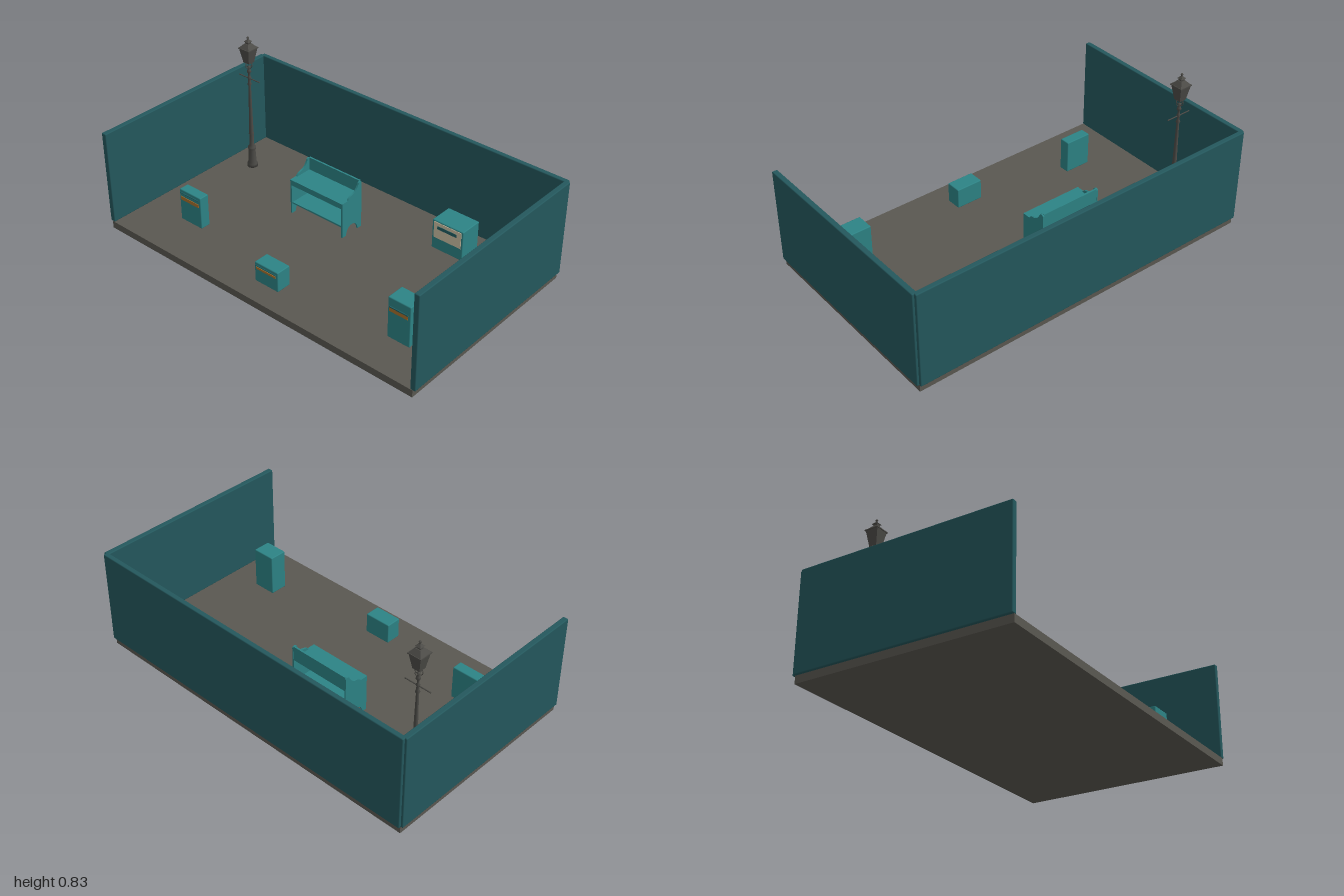
import * as THREE from 'three';
import { RoundedBoxGeometry } from 'three/addons/geometries/RoundedBoxGeometry.js';

const FLOOR = 0.04;

function material(name, color, flatShading = false) {
  const m = new THREE.MeshStandardMaterial({ color, flatShading });
  m.name = name;
  return m;
}

export function createModel() {
  const mats = {
    wall: material('darkTeal', 0x24585d),
    teal: material('teal', 0x2d8385),
    floor: material('stoneGrey', 0x5a5851),
    iron: material('ironGrey', 0x4c4b47),
    cream: material('cream', 0xcdc1a5),
    orange: material('ochre', 0xa8702c),
    slot: material('slotDark', 0x1f5f63),
  };
  const root = new THREE.Group();
  root.name = 'streetDisplay';

  function add(parent, name, geo, mat, x = 0, y = 0, z = 0) {
    const mesh = new THREE.Mesh(geo, mat);
    mesh.name = name;
    mesh.position.set(x, y, z);
    parent.add(mesh);
    return mesh;
  }
  // Box given by its limits; an optional bevel softens the edges
  function block(parent, name, mat, [x0, x1], [y0, y1], [z0, z1], bevel = 0) {
    const s = [x1 - x0, y1 - y0, z1 - z0];
    const geo = bevel ? new RoundedBoxGeometry(...s, 2, bevel) : new THREE.BoxGeometry(...s);
    return add(parent, name, geo, mat, (x0 + x1) / 2, (y0 + y1) / 2, (z0 + z1) / 2);
  }
  function group(name) {
    const g = new THREE.Group();
    g.name = name;
    root.add(g);
    return g;
  }

  // Floor and three walls
  block(root, 'floor', mats.floor, [-0.985, 0.985], [0, FLOOR], [-0.567, 0.58]);
  block(root, 'backWall', mats.wall, [-0.988, 0.988], [FLOOR, 0.565], [-0.582, -0.555], 0.005);
  for (const [name, x] of [['leftWall', 0.985], ['rightWall', -0.985]]) {
    block(root, name, mats.wall, [x - 0.014, x + 0.015], [FLOOR, 0.565], [-0.568, 0.58], 0.005);
  }

  // Cabinets: x, top, z limits, and plates on the front as [colour, x limits, y limits]
  const cabinets = [
    ['rightBin', [-0.735, -0.585], 0.225, [0.27, 0.328], [
      ['orange', [-0.725, -0.597], [0.165, 0.185]], ['slot', [-0.728, -0.592], [0.206, 0.209]]]],
    ['lowBin', [-0.078, 0.073], 0.153, [0.373, 0.459], [
      ['orange', [-0.065, 0.06], [0.117, 0.129]], ['slot', [-0.07, 0.065], [0.136, 0.139]]]],
    ['tallBin', [0.67, 0.8], 0.27, [0.268, 0.367], [
      ['orange', [0.68, 0.787], [0.195, 0.217]], ['slot', [0.68, 0.787], [0.217, 0.223]]]],
    ['wideCabinet', [0.396, 0.584], 0.21, [-0.458, -0.325], [
      ['cream', [0.408, 0.574], [0.11, 0.203]], ['slot', [0.43, 0.548], [0.166, 0.184]]]],
    ['smallCabinet', [0.636, 0.8], 0.13, [-0.278, -0.21], [
      ['cream', [0.648, 0.788], [0.078, 0.125]], ['slot', [0.67, 0.766], [0.104, 0.112]]]],
    ['narrowCabinet', [0.762, 0.873], 0.27, [-0.45, -0.361], [
      ['cream', [0.77, 0.866], [0.135, 0.264]], ['slot', [0.785, 0.852], [0.212, 0.23]]]],
  ];
  for (const [name, xs, top, zs, plates] of cabinets) {
    const g = group(name);
    block(g, 'body', mats.teal, xs, [FLOOR, top], zs, 0.005);
    plates.forEach(([colour, px, py], i) => {
      block(g, `${colour}Plate`, mats[colour], px, py, [zs[1] - 0.001, zs[1] + 0.003 + i * 0.002]);
    });
  }

  // Bench: scrolled end panels with arched feet
  const bench = group('bench');
  const end = new THREE.Shape();
  end.moveTo(-0.235, FLOOR);
  end.lineTo(-0.235, 0.31);
  end.quadraticCurveTo(-0.225, 0.322, -0.212, 0.312);
  end.quadraticCurveTo(-0.195, 0.27, -0.165, 0.265);
  end.quadraticCurveTo(-0.14, 0.262, -0.13, 0.245);
  end.lineTo(-0.087, 0.235);
  end.lineTo(-0.087, FLOOR);
  end.lineTo(-0.115, FLOOR);
  end.quadraticCurveTo(-0.12, 0.085, -0.16, 0.09);
  end.quadraticCurveTo(-0.2, 0.085, -0.207, FLOOR);
  const endGeo = new THREE.ExtrudeGeometry(end, { depth: 0.009, bevelEnabled: false, curveSegments: 8 });
  endGeo.rotateY(-Math.PI / 2);
  add(bench, 'rightEnd', endGeo, mats.teal, -0.336, 0, 0);
  add(bench, 'leftEnd', endGeo, mats.teal, 0.01, 0, 0);
  const span = [-0.337, 0.002];
  block(bench, 'backrest', mats.teal, span, [0.24, 0.318], [-0.234, -0.224]);
  block(bench, 'seat', mats.teal, [-0.345, 0.01], [0.236, 0.245], [-0.234, -0.085]);
  block(bench, 'apron', mats.teal, span, [0.212, 0.237], [-0.097, -0.087]);
  block(bench, 'shelf', mats.teal, span, [0.097, 0.106], [-0.225, -0.092]);

  // Street lamp
  const lamp = group('streetLamp');
  lamp.position.set(-0.82, FLOOR, -0.29);
  const lathe = (pts, n) => new THREE.LatheGeometry(pts.map(([r, y]) => new THREE.Vector2(r, y)), n);
  add(lamp, 'post', lathe([
    [0, 0], [0.029, 0], [0.029, 0.018], [0.023, 0.028], [0.019, 0.1], [0.022, 0.112], [0.022, 0.122],
    [0.013, 0.135], [0.012, 0.2], [0.015, 0.206], [0.012, 0.214], [0.007, 0.5], [0.012, 0.51], [0.007, 0.522],
    [0.007, 0.543], [0.011, 0.549], [0.006, 0.557], [0.005, 0.572], [0.012, 0.584], [0.01, 0.594],
    [0.005, 0.605], [0.01, 0.615], [0, 0.62],
  ], 16), mats.iron);
  const bar = new THREE.CylinderGeometry(0.003, 0.003, 0.144, 8);
  bar.rotateZ(Math.PI / 2);
  add(lamp, 'ladderBar', bar, mats.iron, 0, 0.545, 0);
  for (const side of [-1, 1]) {
    add(lamp, 'barKnob', new THREE.SphereGeometry(0.004, 8, 6), mats.iron, side * 0.071, 0.545, 0);
  }
  // Curved arms cradling the lantern
  const arm = new THREE.CatmullRomCurve3([[0.005, 0.607], [0.02, 0.615], [0.024, 0.63], [0.019, 0.642]]
    .map(([x, y]) => new THREE.Vector3(x, y, 0)));
  const armGeo = new THREE.TubeGeometry(arm, 10, 0.002, 6);
  for (let i = 0; i < 4; i++) add(lamp, 'cradleArm', armGeo, mats.iron).rotation.y = i * Math.PI / 2;
  // Square lantern tiers: half width at top, half width at base, y limits
  const tiers = [
    ['lanternBody', 0.034, 0.02, 0.641, 0.722],
    ['lanternRim', 0.038, 0.038, 0.722, 0.727],
    ['lanternRoof', 0.014, 0.035, 0.727, 0.75],
    ['lanternVent', 0.012, 0.01, 0.75, 0.762],
    ['lanternCap', 0.007, 0.016, 0.762, 0.771],
  ];
  for (const [name, top, base, y0, y1] of tiers) {
    const geo = new THREE.CylinderGeometry(top * Math.SQRT2, base * Math.SQRT2, y1 - y0, 4).toNonIndexed();
    geo.rotateY(Math.PI / 4);
    geo.computeVertexNormals();
    add(lamp, name, geo, mats.iron, 0, (y0 + y1) / 2, 0);
  }
  add(lamp, 'finial', lathe([
    [0.008, 0.77], [0.004, 0.775], [0.003, 0.778], [0.006, 0.781], [0.007, 0.784], [0.005, 0.788], [0, 0.79],
  ], 10), mats.iron);

  return root;
}
